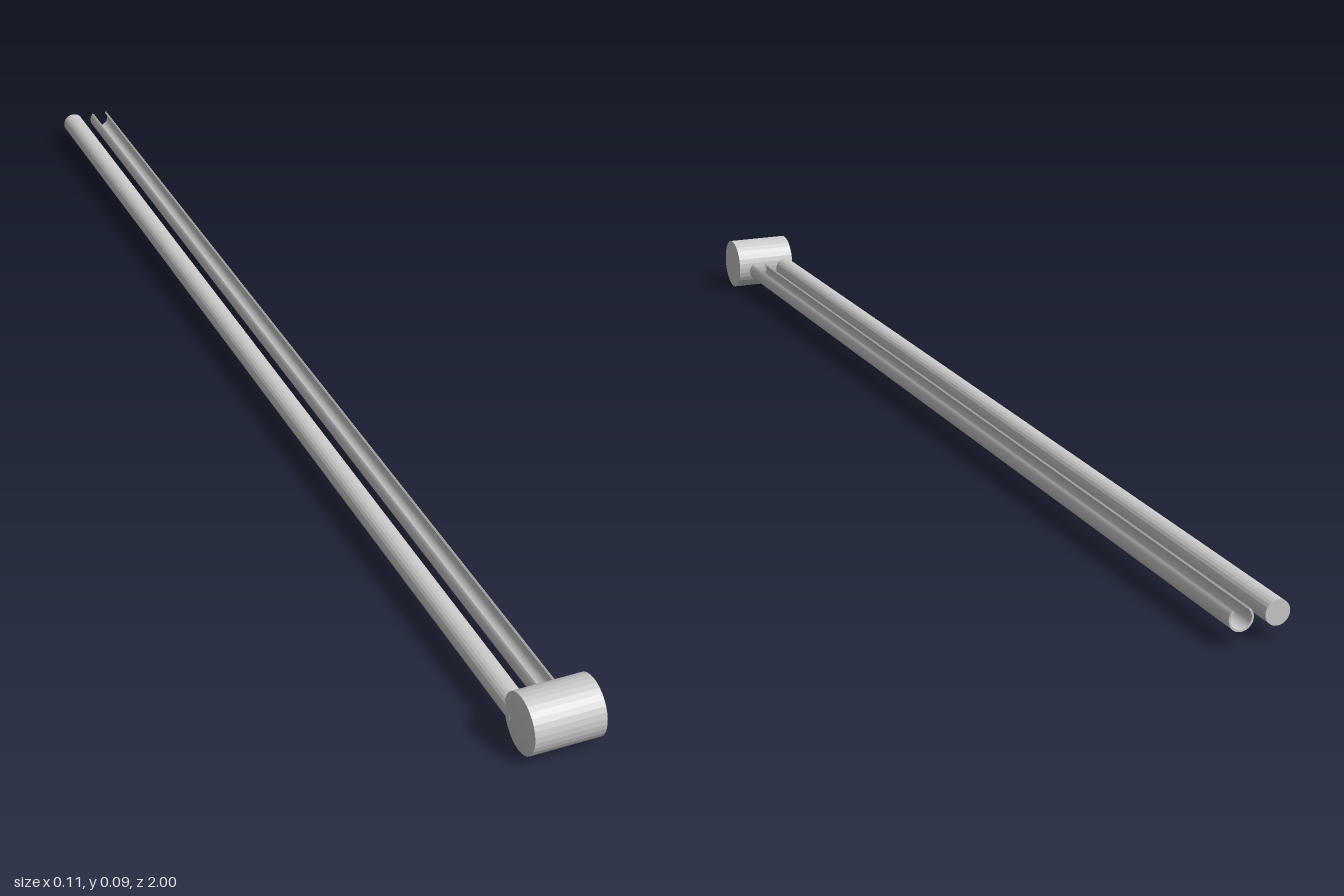
import * as THREE from 'three';

export function createModel() {
  const model = new THREE.Group();
  const material = new THREE.MeshStandardMaterial({
    color: 0xcccccc, flatShading: true, side: THREE.DoubleSide,
  });
  const add = (name, geometry) => {
    const mesh = new THREE.Mesh(geometry, material);
    mesh.name = name;
    model.add(mesh);
  };

  const backZ = -1, frontZ = 0.93, rodY = 0.038, rodRadius = 0.0185;
  const length = frontZ - backZ;

  // Cross head: a cylinder along x with one slightly domed end
  const profile = [
    [0, -0.055], [0.045, -0.055], [0.045, 0.053],
    [0.036, 0.0546], [0.022, 0.0562], [0, 0.057],
  ].map(([r, y]) => new THREE.Vector2(r, y));
  const head = new THREE.LatheGeometry(profile, 32);
  head.rotateZ(Math.PI / 2);
  head.translate(0, 0.045, 0.955);
  add('crossHead', head);

  // Solid round rod
  const rod = new THREE.CylinderGeometry(rodRadius, rodRadius, length, 24);
  rod.rotateX(Math.PI / 2);
  rod.translate(-0.038, rodY, (backZ + frontZ) / 2);
  add('solidRod', rod);

  // Hollow rod with a slot along its top
  const slotHalf = 0.8;
  const start = Math.PI / 2 + slotHalf, end = Math.PI * 2.5 - slotHalf;
  const section = new THREE.Shape();
  section.absarc(0, 0, rodRadius, start, end, false);
  section.absarc(0, 0, rodRadius - 0.003, end, start, true);
  section.closePath();
  const channel = new THREE.ExtrudeGeometry(section, {
    depth: length, bevelEnabled: false, curveSegments: 20,
  });
  channel.translate(0.016, rodY, backZ);
  add('slottedRod', channel);

  return model;
}
